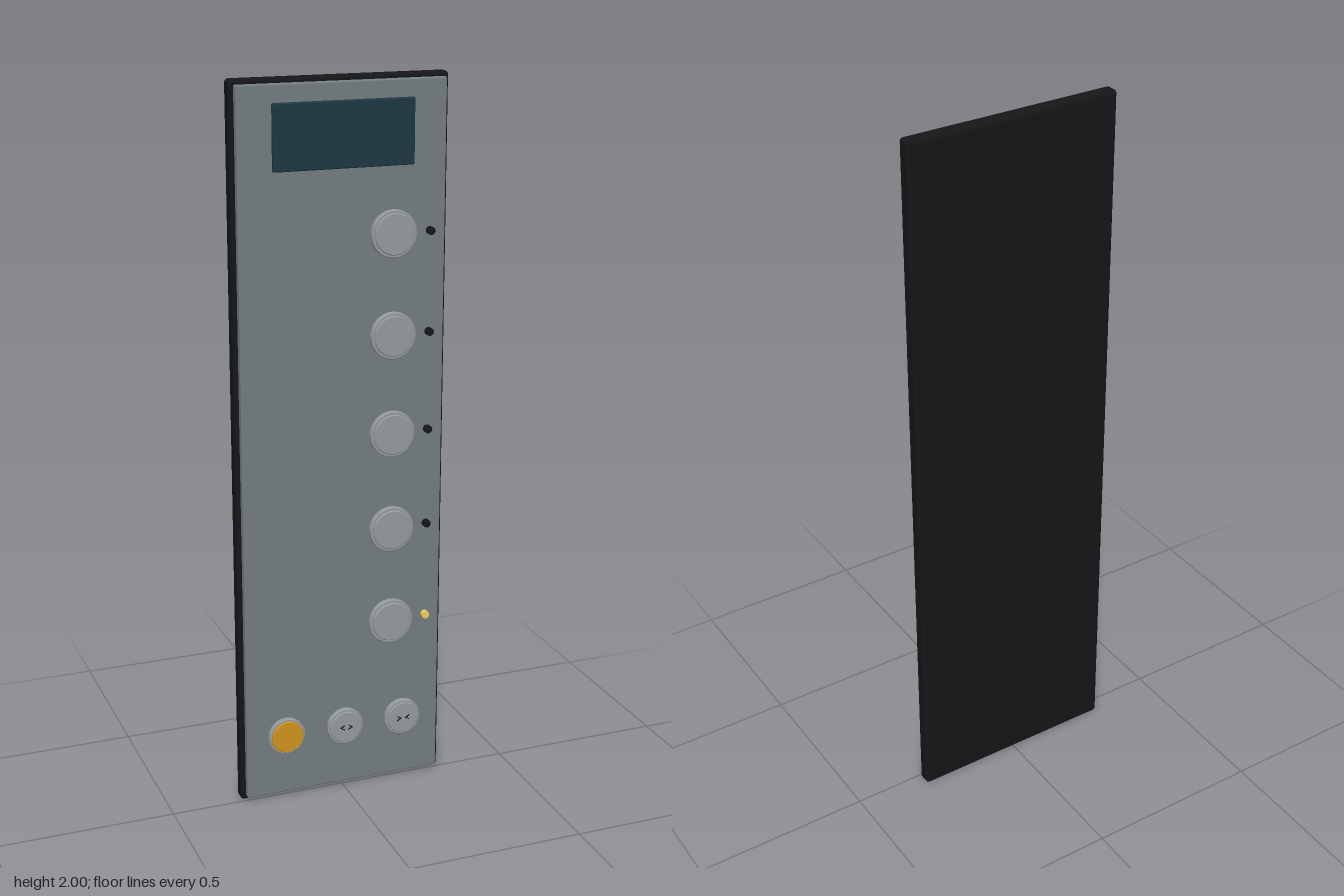
import * as THREE from 'three';
import { toCreasedNormals } from 'three/addons/utils/BufferGeometryUtils.js';
import { RoundedBoxGeometry } from 'three/addons/geometries/RoundedBoxGeometry.js';

const mat = (color) => new THREE.MeshStandardMaterial({ color });

export function createModel() {
  const model = new THREE.Group();
  const black = mat(0x141617), steel = mat(0x747d82), glass = mat(0x1e3943);
  const silver = mat(0x959c9f), amber = mat(0xd0941c), dark = mat(0x15181a), glow = mat(0xf0cc60);

  const add = (name, geometry, material, x = 0, y = 0, z = 0, parent = model) => {
    const mesh = new THREE.Mesh(geometry, material);
    mesh.name = name;
    mesh.position.set(x, y, z);
    parent.add(mesh);
    return mesh;
  };

  // Slab: rounded box given by its extents in y and z
  const slab = (name, width, y0, y1, z0, z1, radius, material) =>
    add(name, new RoundedBoxGeometry(width, y1 - y0, z1 - z0, 3, radius), material, 0, (y0 + y1) / 2, (z0 + z1) / 2);

  slab('backPlate', 0.6, 0, 2, -0.045, -0.005, 0.01, black);
  slab('facePlate', 0.574, 0.013, 1.987, -0.008, 0.014, 0.004, steel);
  slab('displayScreen', 0.388, 1.767, 1.94, 0.01, 0.025, 0.004, glass);

  // Push button: narrow stem, wide collar and a slightly raised cap, facing +z
  const button = (name, x, y, r, material) => {
    const group = new THREE.Group();
    group.name = name;
    group.position.set(x, y, 0);
    model.add(group);
    const turn = (points) => toCreasedNormals(
      new THREE.LatheGeometry(points.map(([a, b]) => new THREE.Vector2(a, b)), 40).rotateX(Math.PI / 2), 0.5);
    add('collar', turn([[0, 0.012], [r * 0.75, 0.012], [r * 0.75, 0.02], [r - 0.002, 0.02], [r, 0.022],
      [r, 0.033], [r - 0.002, 0.035], [0, 0.035]]), silver, 0, 0, 0, group);
    add('cap', turn([[0, 0.034], [r * 0.87, 0.034], [r * 0.87, 0.038], [r * 0.84, 0.04], [0, 0.04]]),
      material, 0, 0, 0, group);
    return group;
  };

  // Floor buttons with their indicator lamps, lowest lamp lit
  for (let i = 0; i < 5; i++) {
    const y = 0.496 + i * 0.2735;
    button('floorButton' + (i + 1), 0.135, y, 0.064, silver);
    const lamp = new THREE.CylinderGeometry(0.011, 0.011, 0.015, 20).rotateX(Math.PI / 2);
    add('indicatorLamp' + (i + 1), lamp, i === 0 ? glow : dark, 0.243, y, 0.02);
  }

  // Bottom row: alarm, door open and door close
  button('alarmButton', -0.175, 0.195, 0.053, amber);
  const open = button('doorOpenButton', -0.001, 0.195, 0.053, silver);
  const close = button('doorCloseButton', 0.172, 0.195, 0.053, silver);

  // Direction chevrons on the door buttons
  const chevron = new THREE.Shape([[0.007, 0], [-0.006, 0.008], [-0.006, 0.005], [0.002, 0], [-0.006, -0.005],
    [-0.006, -0.008]].map(([x, y]) => new THREE.Vector2(x, y)));
  const arrow = new THREE.ExtrudeGeometry(chevron, { depth: 0.003, bevelEnabled: false });
  for (const [group, outward] of [[open, 1], [close, -1]]) {
    for (const side of [-1, 1]) {
      const mesh = add('chevron', arrow, dark, side * 0.012, 0, 0.0395, group);
      if (side * outward < 0) mesh.rotation.z = Math.PI;
    }
  }
  return model;
}
